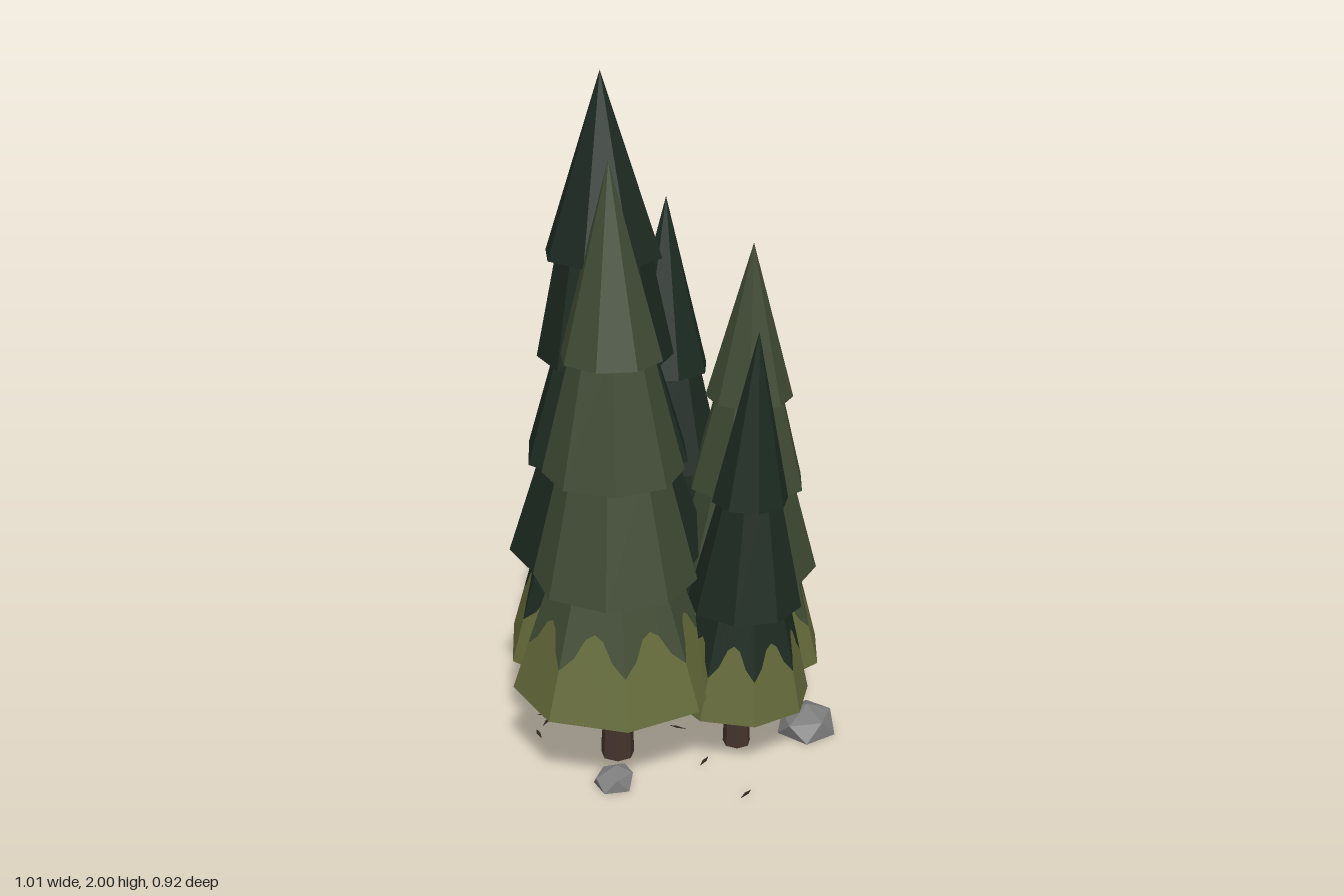
import * as THREE from 'three';

const mat = (name, color, extra = {}) => {
  const m = new THREE.MeshStandardMaterial({ color, flatShading: true, ...extra });
  m.name = name;
  return m;
};

const SIDES = 8;
// Jagged edge of the pale fringe: [position across a facet, height fraction]
const JAG = [[0, 0.36], [0.2, 0.46], [0.35, 0.6], [0.5, 0.64], [0.65, 0.6], [0.8, 0.46], [1, 0.36]];

// base and apex are [x, z]; tiers are [bottom height, radius, yaw in degrees], lowest first
const TREES = [
  { name: 'tallTree', leaf: 'dark', base: [-0.03, -0.157], apex: [-0.09, -0.13], height: 2.0, trunk: 0.052,
    tiers: [[0.26, 0.322, -108.6], [0.575, 0.297, -87], [0.885, 0.248, -108.6], [1.185, 0.196, -86], [1.485, 0.172, -111]] },
  { name: 'leftTree', leaf: 'olive', base: [-0.205, 0.005], apex: [-0.18, -0.03], height: 1.785, trunk: 0.05,
    tiers: [[0.24, 0.303, 180], [0.575, 0.238, 192], [0.9, 0.202, 184], [1.235, 0.148, 202]] },
  { name: 'backRightTree', leaf: 'dark', base: [0.19, -0.15], apex: [0.23, -0.15], height: 1.59, trunk: 0.046,
    tiers: [[0.2, 0.26, -34], [0.49, 0.23, -57], [0.78, 0.182, -34], [1.07, 0.138, -57]] },
  { name: 'frontRightTree', leaf: 'olive', base: [0.265, 0.117], apex: [0.22, 0.17], height: 1.505, trunk: 0.046,
    tiers: [[0.2, 0.25, -12.7], [0.485, 0.218, 9.8], [0.765, 0.176, -12.7], [1.04, 0.128, 9.8]] },
  { name: 'smallTree', leaf: 'dark', base: [0.065, 0.247], apex: [0.07, 0.297], height: 1.305, trunk: 0.042,
    tiers: [[0.17, 0.21, 87.4], [0.475, 0.168, 65], [0.8, 0.112, 87.4]] },
];

function geometryFrom(points) {
  const g = new THREE.BufferGeometry().setFromPoints(points);
  g.computeVertexNormals();
  return g;
}

// One skirt of branches, split into leaf faces and (on the lowest skirt) fringe faces
function buildTier(bottom, top, turn, hasFringe) {
  const leaf = [], fringe = [];
  const ring = (c, i) => {
    const a = turn + (i / SIDES) * Math.PI * 2;
    return new THREE.Vector3(c.x + c.r * Math.cos(a), c.y, c.z + c.r * Math.sin(a));
  };
  // The underside is hollowed towards the trunk
  const centre = new THREE.Vector3(bottom.x, bottom.y + bottom.r * 0.33, bottom.z);
  const quad = (list, b0, b1, t0, t1) => {
    list.push(b0, t0, b1);
    if (t0.distanceTo(t1) > 1e-5) list.push(b1, t0, t1);
  };
  for (let i = 0; i < SIDES; i++) {
    const b0 = ring(bottom, i), b1 = ring(bottom, i + 1);
    const t0 = ring(top, i), t1 = ring(top, i + 1);
    leaf.push(centre, b0, b1);
    if (!hasFringe) {
      quad(leaf, b0, b1, t0, t1);
      continue;
    }
    const at = (u, v) => b0.clone().lerp(b1, u).lerp(t0.clone().lerp(t1, u), v);
    for (let k = 0; k < JAG.length - 1; k++) {
      const [u0, v0] = JAG[k], [u1, v1] = JAG[k + 1];
      quad(fringe, at(u0, 0), at(u1, 0), at(u0, v0), at(u1, v1));
      quad(leaf, at(u0, v0), at(u1, v1), at(u0, 1), at(u1, 1));
    }
  }
  return { leaf, fringe };
}

function buildTree(t, mats) {
  const tree = new THREE.Group();
  tree.name = t.name;
  const add = (geo, material, name) => {
    const m = new THREE.Mesh(geo, material);
    m.name = name;
    tree.add(m);
    return m;
  };
  // Leaning axis from base to apex
  const section = (y, r) => ({
    x: THREE.MathUtils.lerp(t.base[0], t.apex[0], y / t.height),
    z: THREE.MathUtils.lerp(t.base[1], t.apex[1], y / t.height), y, r,
  });

  const leaf = [], fringe = [];
  t.tiers.forEach(([y, r, yaw], k) => {
    const next = t.tiers[k + 1];
    const top = next ? section(next[0] + 0.05, next[1] * 0.72) : section(t.height, 0);
    const part = buildTier(section(y, r), top, THREE.MathUtils.degToRad(yaw), k === 0);
    leaf.push(...part.leaf);
    fringe.push(...part.fringe);
  });
  add(geometryFrom(leaf), mats[t.leaf], 'branches');
  add(geometryFrom(fringe), mats.fringe, 'branchFringe');

  // Trunk
  const h = t.tiers[0][0] + 0.13;
  const trunk = add(new THREE.CylinderGeometry(t.trunk * 0.8, t.trunk, h, 7), mats.bark, 'trunk');
  trunk.position.set(t.base[0], h / 2, t.base[1]);
  return tree;
}

// Faceted stone: an icosahedron stood on one corner, its lower ring flat on the ground
function buildRock(x, z, r, h, yaw, material) {
  const g = new THREE.IcosahedronGeometry(1.1, 0).rotateZ(-Math.atan(0.5257 / 0.8507));
  const p = g.attributes.position;
  for (let i = 0; i < p.count; i++) {
    const px = p.getX(i), py = p.getY(i), pz = p.getZ(i);
    const bump = 1 + 0.1 * Math.sin(px * 5 + pz * 3 + py);
    p.setXYZ(i, px * bump + py * 0.08, Math.max(0, (py * 0.63 + 0.31) * (1 + 0.12 * pz)), pz * bump);
  }
  g.computeVertexNormals();
  const rock = new THREE.Mesh(g, material);
  rock.name = 'rock';
  rock.scale.set(r * 1.06, h, r);
  rock.position.set(x, 0, z);
  rock.rotation.y = yaw;
  return rock;
}

export function createModel() {
  const mats = {
    dark: mat('darkNeedles', 0x1c2a21),
    olive: mat('oliveNeedles', 0x404b34),
    fringe: mat('paleFringe', 0x636939),
    bark: mat('bark', 0x44332c),
    stone: mat('stone', 0x7c7c7c),
    twig: mat('twig', 0x2f2620, { side: THREE.DoubleSide }),
  };
  const model = new THREE.Group();
  model.name = 'pineGrove';
  TREES.forEach((t) => model.add(buildTree(t, mats)));

  model.add(buildRock(0.26, 0.37, 0.085, 0.08, 0.6, mats.stone));
  model.add(buildRock(-0.34, 0.105, 0.057, 0.056, 0.2, mats.stone));

  // Fallen twigs: [x, z, yaw]
  const twigs = [[-0.16, 0.44, 0.05], [0.22, -0.41, 0.5], [-0.09, 0.24, 0.2], [0.32, 0.02, 0.7],
    [-0.17, -0.31, 2.2], [-0.2, -0.28, 0.3], [0.02, 0.06, 1.8], [-0.27, -0.25, 1.0]];
  const shape = new THREE.Shape([[-0.03, 0], [0.005, -0.006], [0.03, 0], [0.005, 0.006]].map((q) => new THREE.Vector2(...q)));
  const twigGeo = new THREE.ShapeGeometry(shape).rotateX(-Math.PI / 2);
  twigs.forEach(([x, z, yaw]) => {
    const twig = new THREE.Mesh(twigGeo, mats.twig);
    twig.name = 'twig';
    twig.position.set(x, 0.003, z);
    twig.rotation.y = yaw;
    model.add(twig);
  });
  return model;
}
